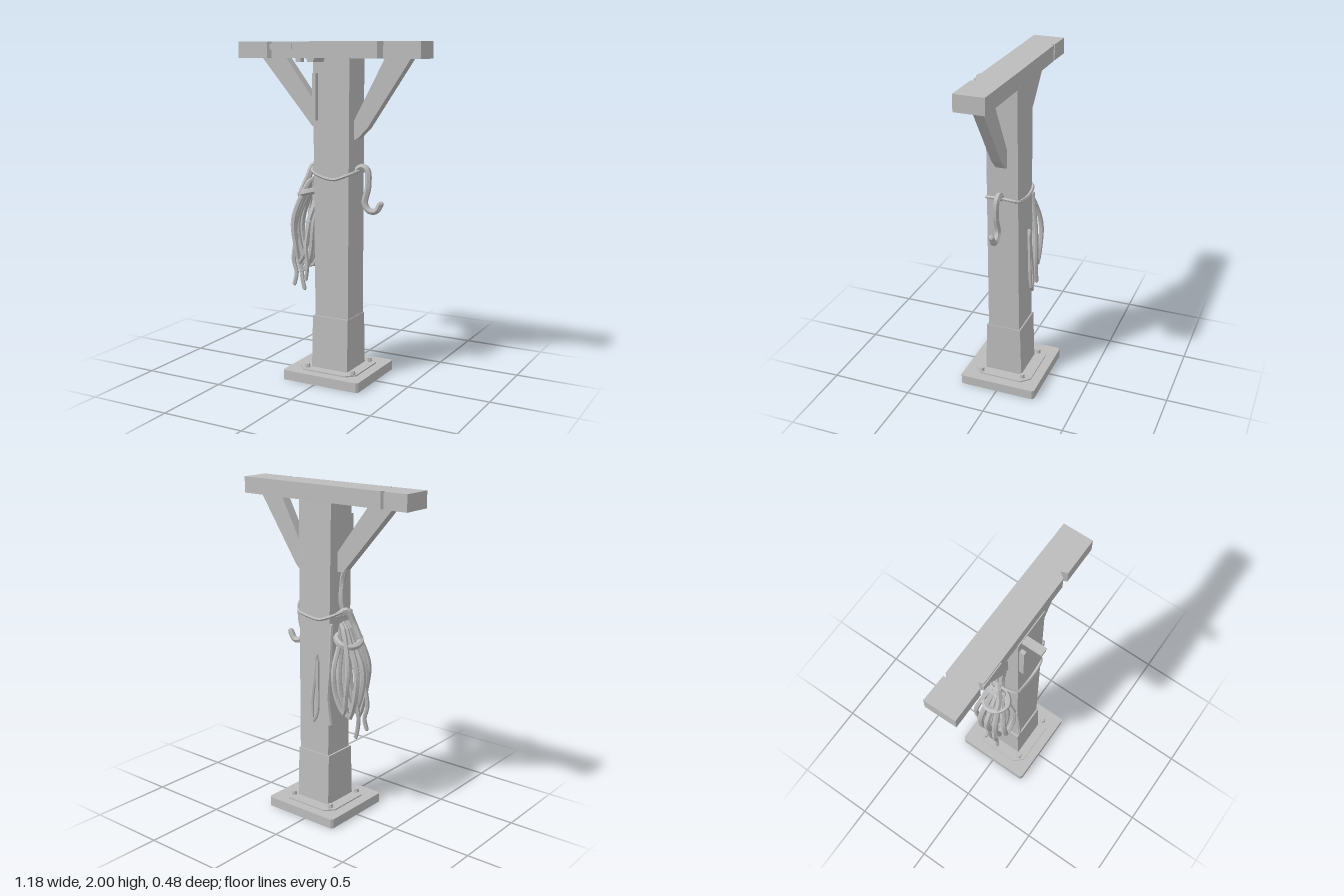
import * as THREE from 'three';

const grey = new THREE.MeshStandardMaterial({ color: 0xbcbcbc, flatShading: true, side: THREE.DoubleSide });
grey.name = 'plain grey';

const V = (p) => new THREE.Vector3(...p);

export function createModel() {
  const model = new THREE.Group();
  const add = (name, geo, parent = model) => {
    const m = new THREE.Mesh(geo, grey);
    m.name = name;
    parent.add(m);
    return m;
  };

  // Box given by its limits; the lower end can have its own x and z limits
  const block = (name, [x0, x1], [y0, y1], [z0, z1], low = [x0, x1, z0, z1]) => {
    const g = new THREE.BoxGeometry(1, 1, 1);
    const p = g.attributes.position;
    for (let i = 0; i < p.count; i++) {
      const bottom = p.getY(i) < 0;
      const [a, b, c, d] = bottom ? low : [x0, x1, z0, z1];
      p.setXYZ(i, p.getX(i) < 0 ? a : b, bottom ? y0 : y1, p.getZ(i) < 0 ? c : d);
    }
    g.computeVertexNormals();
    return add(name, g);
  };

  const outline = (pts) => new THREE.Shape(pts.map(([x, y]) => new THREE.Vector2(x, y)));
  // Plan outline given as [x, z], extruded upwards from y0 to y1
  const slab = (name, pts, y0, y1, hole) => {
    const flip = (list) => list.map(([x, z]) => [x, -z]);
    const s = outline(flip(pts));
    if (hole) s.holes.push(outline(flip(hole)));
    const g = new THREE.ExtrudeGeometry(s, { depth: y1 - y0, bevelEnabled: false });
    g.rotateX(-Math.PI / 2).translate(0, y0, 0);
    return add(name, g);
  };
  // Rectangle with cut corners
  const cutRect = (x0, x1, z0, z1, c) => [
    [x0 + c, z0], [x1 - c, z0], [x1, z0 + c], [x1, z1 - c],
    [x1 - c, z1], [x0 + c, z1], [x0, z1 - c], [x0, z0 + c]];

  const rope = (name, pts, r, parent = model, closed = false, sides = 6) => {
    const curve = new THREE.CatmullRomCurve3(pts.map(V), closed);
    add(name, new THREE.TubeGeometry(curve, pts.length * 4, r, sides, closed), parent);
    if (closed) return;
    for (const t of [0, 1]) {
      const cap = new THREE.IcosahedronGeometry(r, 0);
      cap.translate(...curve.getPoint(t).toArray());
      add(name + 'End', cap, parent);
    }
  };

  // Foot plate, hollow underneath
  const cx = 0.037;
  const hole = [[cx - 0.13, -0.13], [cx + 0.13, -0.13], [cx + 0.13, 0.13], [cx - 0.13, 0.13]];
  slab('basePlate', cutRect(-0.215, 0.287, -0.243, 0.237, 0.012), 0.002, 0.06, hole);
  const pit = new THREE.ConeGeometry(0.13 * Math.SQRT2, 0.2, 4, 1, true);
  pit.rotateY(Math.PI / 4).translate(cx, 0.102, 0);
  add('baseCavity', pit);
  slab('weldRim', cutRect(-0.15, 0.225, -0.185, 0.18, 0.05), 0.058, 0.068);
  for (const [x, z] of [[-0.1, 0.14], [0.2, 0.13], [-0.11, -0.13], [0.18, -0.13]]) {
    const bolt = new THREE.CylinderGeometry(0.014, 0.018, 0.025, 6);
    bolt.translate(x, 0.078, z);
    add('bolt', bolt);
  }

  // Post and its collar
  block('collar', [-0.078, 0.156], [0.06, 0.385], [-0.105, 0.11], [-0.08, 0.158, -0.115, 0.12]);
  block('post', [-0.078, 0.158], [0.38, 1.91], [-0.086, 0.1], [-0.066, 0.152, -0.097, 0.1]);

  // Crossbeam with chipped edges
  slab('crossbeam', [
    [-0.595, -0.095], [-0.44, -0.09], [-0.435, -0.065], [-0.42, -0.09], [0.1, -0.086], [0.588, -0.08],
    [0.59, 0.097], [0.365, 0.097], [0.35, 0.06], [0.325, 0.094], [-0.36, 0.094],
    [-0.37, 0.07], [-0.39, 0.094], [-0.592, 0.094]], 1.902, 1.998);
  block('beamSplinter', [-0.37, -0.22], [1.95, 1.985], [0.09, 0.1]);

  // Diagonal braces
  const brace = (name, pts) => {
    const g = new THREE.ExtrudeGeometry(outline(pts), { depth: 0.06, bevelEnabled: false });
    g.translate(0, 0, -0.024);
    add(name, g);
  };
  brace('rightBrace', [[-0.465, 1.91], [-0.12, 1.51], [-0.07, 1.5], [-0.07, 1.61], [-0.3, 1.91]]);
  brace('leftBrace', [[0.35, 1.91], [0.155, 1.55], [0.155, 1.44], [0.18, 1.45], [0.24, 1.51], [0.51, 1.91]]);

  // Peg under the beam and batten on the post front
  block('peg', [-0.05, 0], [1.882, 1.905], [0.08, 0.22], [-0.045, -0.01, 0.08, 0.22]);
  block('beamNail', [-0.2, -0.165], [1.88, 1.91], [0.05, 0.09]);
  block('batten', [-0.068, -0.045], [1.55, 1.82], [0.095, 0.13]);

  // Hook on the left side
  rope('hook', [[0.15, 1.25, 0.01], [0.19, 1.285, 0.01], [0.228, 1.27, 0.01], [0.236, 1.17, 0.013],
    [0.215, 1.07, 0.01], [0.24, 1.032, 0.008], [0.285, 1.03, 0.008], [0.315, 1.075, 0.008]], 0.019);

  // Rope tied round the post
  const ropes = new THREE.Group();
  ropes.name = 'ropes';
  model.add(ropes);
  rope('tieRope', [[-0.11, 1.27, 0.03], [-0.08, 1.25, 0.1], [-0.02, 1.225, 0.106], [0.06, 1.213, 0.106],
    [0.13, 1.235, 0.106], [0.165, 1.25, 0.095], [0.175, 1.26, 0], [0.165, 1.25, -0.09],
    [0.1, 1.235, -0.1], [0, 1.225, -0.1], [-0.075, 1.25, -0.095], [-0.11, 1.27, -0.03]], 0.01, ropes, true, 5);
  rope('upperStrand', [[-0.11, 1.51, 0], [-0.085, 1.44, 0.01], [-0.085, 1.34, 0], [-0.1, 1.25, 0.01]], 0.018, ropes);

  // Coiled loops hung on the right side
  const loops = [
    // z at top, z at bottom, outer x, bottom y, thickness
    [-0.04, -0.1, -0.215, 0.68, 0.015], [-0.02, -0.05, -0.24, 0.64, 0.018], [0, 0, -0.245, 0.67, 0.019],
    [0.02, 0.05, -0.235, 0.63, 0.018], [0.03, 0.1, -0.215, 0.7, 0.016]];
  for (const [z0, z1, xo, yb, r] of loops) {
    const h = 1.2 - yb;
    rope('coilLoop', [[-0.12, 1.2, z0], [-0.175, 1.1, (z0 + z1) / 2], [xo, yb + h * 0.5, z1],
      [xo + 0.015, yb + h * 0.2, z1], [-0.18, yb, z1 * 0.9], [-0.13, yb + h * 0.18, z1],
      [-0.11, yb + h * 0.5, z1], [-0.105, 1.08, z0]], r, ropes, true);
  }
  // Wrap that gathers the coil, and the hanger above it
  rope('coilWrap', [[-0.2, 1.1, 0.04], [-0.14, 1.12, 0.075], [-0.09, 1.13, 0.03], [-0.09, 1.12, -0.05],
    [-0.15, 1.09, -0.075], [-0.205, 1.08, -0.03]], 0.02, ropes, true);
  rope('hanger', [[-0.085, 1.25, -0.03], [-0.125, 1.28, 0], [-0.155, 1.2, 0.03], [-0.19, 1.12, 0.04]], 0.019, ropes);

  // Loose ends
  const tails = [
    [[-0.23, 0.85, 0.04], [-0.245, 0.7, 0.05], [-0.225, 0.62, 0.05], [-0.235, 0.55, 0.06]],
    [[-0.2, 0.8, -0.02], [-0.225, 0.66, -0.01], [-0.215, 0.58, 0], [-0.2, 0.51, 0]],
    [[-0.1, 0.95, 0.11], [-0.11, 0.8, 0.135], [-0.1, 0.7, 0.135], [-0.11, 0.61, 0.135]],
    [[-0.085, 1.2, -0.09], [-0.09, 0.95, -0.11], [-0.08, 0.75, -0.115], [-0.1, 0.6, -0.115]]];
  for (const t of tails) rope('looseEnd', t, 0.013, ropes);

  // Narrow loop hanging against the back of the post
  rope('backLoop', [[0.01, 1.0, -0.105], [0.025, 0.85, -0.115], [0.035, 0.68, -0.125], [0.02, 0.6, -0.13],
    [-0.005, 0.66, -0.125], [0, 0.85, -0.115]], 0.011, ropes, true);

  return model;
}
